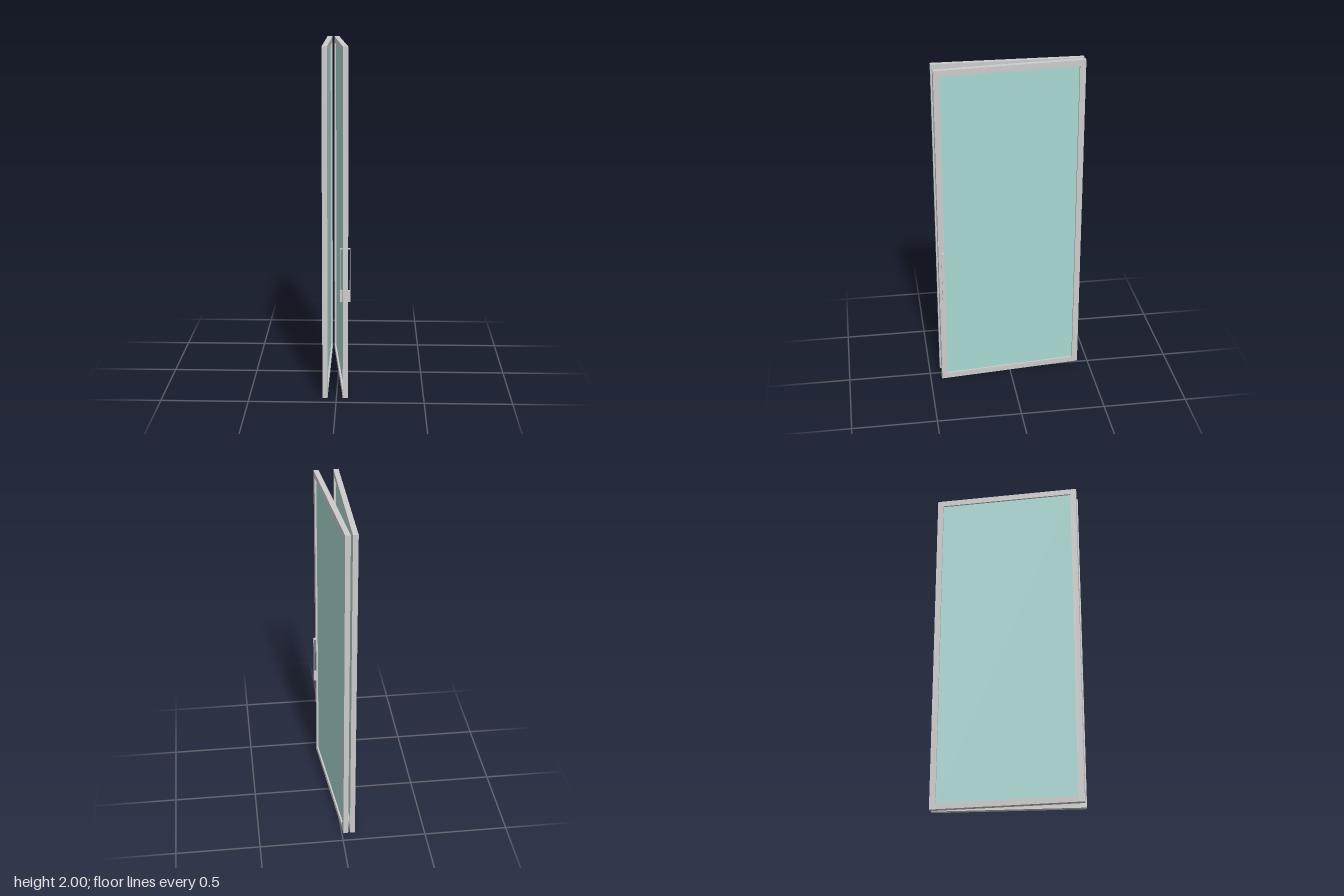
import * as THREE from 'three';

const HEIGHT = 2, LENGTH = 0.87, DEPTH = 0.03, RAIL = 0.035;
const grey = new THREE.MeshStandardMaterial({ color: 0xcccccc });
const tint = new THREE.MeshStandardMaterial({ color: 0xa8d8d2 });

function addBox(parent, name, size, position, material = grey) {
  const mesh = new THREE.Mesh(new THREE.BoxGeometry(...size), material);
  mesh.name = name;
  mesh.position.set(...position);
  parent.add(mesh);
}

// Glazed panel running along z, standing on y = 0
function makePanel(name) {
  const panel = new THREE.Group();
  panel.name = name;
  const innerLength = LENGTH - 2 * RAIL;
  for (const s of [-1, 1]) {
    addBox(panel, s > 0 ? 'frontStile' : 'backStile',
      [DEPTH, HEIGHT, RAIL], [0, HEIGHT / 2, s * (LENGTH - RAIL) / 2]);
    addBox(panel, s > 0 ? 'topRail' : 'bottomRail',
      [DEPTH, RAIL, innerLength], [0, HEIGHT / 2 + s * (HEIGHT - RAIL) / 2, 0]);
  }
  addBox(panel, 'glass', [0.01, HEIGHT - 2 * RAIL, innerLength], [0, HEIGHT / 2, 0], tint);
  return panel;
}

// Pull handle: slim upright grip on a deep lower block and a thin upper bracket
function makeHandle(side) {
  const handle = new THREE.Group();
  handle.name = side > 0 ? 'leftHandle' : 'rightHandle';
  const reach = 0.015, width = 0.016, z = 0.412;
  const x = side * (DEPTH + reach) / 2;
  addBox(handle, 'lowerBlock', [reach, 0.065, width], [x, 0.6025, z]);
  addBox(handle, 'upperBracket', [reach, 0.006, width], [x, 0.877, z]);
  addBox(handle, 'grip', [0.004, 0.239, width],
    [side * (DEPTH / 2 + reach - 0.002), 0.7545, z]);
  return handle;
}

export function createModel() {
  const model = new THREE.Group();
  model.name = 'slidingDoor';

  const fixedPanel = makePanel('fixedPanel');
  fixedPanel.position.x = -0.065;

  // Door leaf swung slightly open, with a handle on each face
  const doorLeaf = makePanel('doorLeaf');
  doorLeaf.add(makeHandle(1), makeHandle(-1));
  doorLeaf.position.set(0.0135, 0, -0.002);
  doorLeaf.rotation.y = THREE.MathUtils.degToRad(5);

  model.add(fixedPanel, doorLeaf);
  return model;
}
